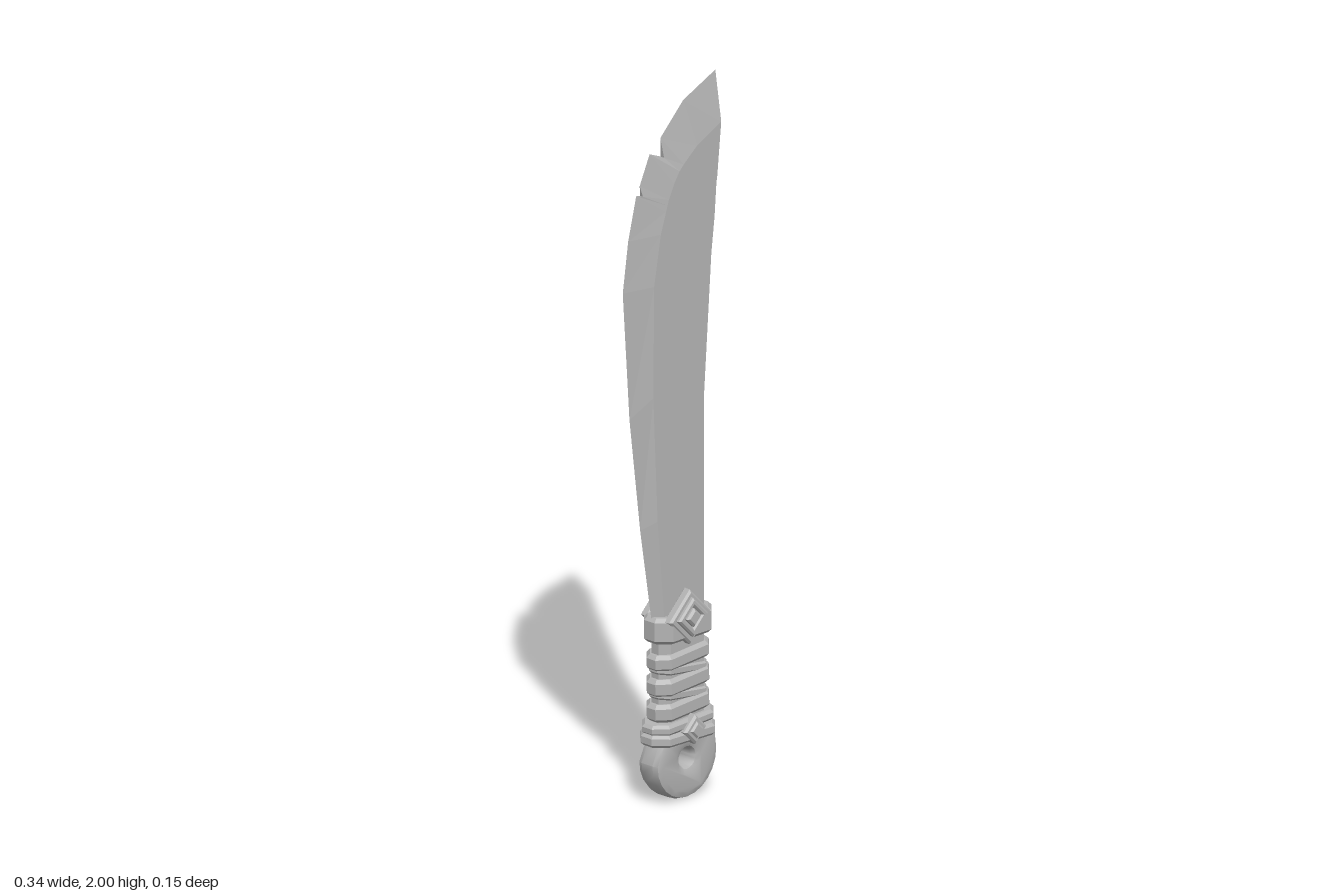
import * as THREE from 'three';
import { toCreasedNormals } from 'three/addons/utils/BufferGeometryUtils.js';

const steel = new THREE.MeshStandardMaterial({ color: 0xb4b4b4 });
steel.name = 'grey steel';
const CX = 0.03; // handle axis

function part(name, geometry, parent) {
  const mesh = new THREE.Mesh(geometry, steel);
  mesh.name = name;
  parent.add(mesh);
  return mesh;
}

const polygon = pts => new THREE.Shape(pts.map(p => new THREE.Vector2(...p)));

// Chamfered slab in the xy plane, z centred, keeping its full outline
function slab(shape, halfDepth, bevel, segments = 1) {
  const depth = 2 * (halfDepth - bevel);
  return new THREE.ExtrudeGeometry(shape, {
    depth, bevelThickness: bevel, bevelSize: bevel, bevelOffset: -bevel,
    bevelSegments: segments, curveSegments: 10,
  }).translate(0, 0, -depth / 2);
}

// Eight-sided band around the handle
function band(name, y, halfHeight, hx, hz, bevel, tilt, parent) {
  const c = Math.min(0.035, hz * 0.65);
  const shape = polygon([
    [hx - c, -hz], [hx, c - hz], [hx, hz - c], [hx - c, hz],
    [c - hx, hz], [-hx, hz - c], [-hx, c - hz], [c - hx, -hz],
  ]);
  const mesh = part(name, slab(shape, halfHeight, bevel).rotateX(-Math.PI / 2), parent);
  mesh.position.set(CX, y, 0);
  mesh.rotation.z = tilt;
  return mesh;
}

const diamond = r => polygon([[r, 0], [0, r], [-r, 0], [0, -r]]);

function diamondFrame(r, hole) {
  const s = diamond(r);
  s.holes.push(diamond(hole));
  return s;
}

// Blade rows: edge x, y, half thickness; bevel x, y; spine x, y
const ROWS = [
  [-0.065, 0.5, 0, -0.04, 0.5, 0.105, 0.5],
  [-0.11, 0.78, 0, -0.067, 0.8, 0.105, 0.8],
  [-0.15, 1.1, 0, -0.083, 1.15, 0.105, 1.1],
  [-0.175, 1.46, 0, -0.08, 1.46, 0.133, 1.5],
  [-0.155, 1.6, 0, -0.055, 1.6, 0.145, 1.6],
  [-0.125, 1.72, 0, -0.035, 1.66, 0.151, 1.68],
  [-0.105, 1.715, 0.005, -0.03, 1.675, 0.153, 1.7],
  [-0.112, 1.745, 0, -0.025, 1.69, 0.155, 1.71],
  [-0.075, 1.825, 0, -0.005, 1.73, 0.158, 1.74],
  [-0.028, 1.805, 0.007, 0.015, 1.76, 0.162, 1.78],
  [-0.035, 1.86, 0, 0.03, 1.775, 0.164, 1.8],
  [0.05, 1.945, 0, 0.08, 1.815, 0.167, 1.83],
  [0.17, 2.0, 0, 0.17, 1.86, 0.17, 1.86],
];

function bladeGeometry() {
  const T = 0.022, pos = [];
  const tri = (a, b, c) => pos.push(...a, ...b, ...c);
  const quad = (a, b, c, d) => { tri(a, b, c); tri(a, c, d); };
  const at = (r, s) => ({
    edge: [r[0], r[1], s * r[2]], bevel: [r[3], r[4], s * T], spine: [r[5], r[6], s * T],
  });
  for (let i = 0; i < ROWS.length - 1; i++) {
    const f0 = at(ROWS[i], 1), f1 = at(ROWS[i + 1], 1);
    const b0 = at(ROWS[i], -1), b1 = at(ROWS[i + 1], -1);
    quad(f0.edge, f0.bevel, f1.bevel, f1.edge);
    quad(f0.bevel, f0.spine, f1.spine, f1.bevel);
    quad(b0.bevel, b0.edge, b1.edge, b1.bevel);
    quad(b0.spine, b0.bevel, b1.bevel, b1.spine);
    quad(f0.spine, b0.spine, b1.spine, f1.spine);
    quad(b0.edge, f0.edge, f1.edge, b1.edge); // notch walls
  }
  const last = ROWS[ROWS.length - 1];
  tri(at(last, 1).spine, at(last, -1).spine, at(last, 1).edge); // tip
  const g = new THREE.BufferGeometry();
  g.setAttribute('position', new THREE.Float32BufferAttribute(pos, 3));
  g.computeVertexNormals();
  return g;
}

// Rounded end with a lanyard hole
function pommelGeometry() {
  const r = 0.115, cy = 0.12;
  const s = new THREE.Shape();
  s.moveTo(r - 0.01, 0.2);
  for (let i = 0; i <= 12; i++) {
    const a = -Math.PI * i / 12;
    s.lineTo(r * Math.cos(a), cy + r * Math.sin(a));
  }
  s.lineTo(-0.09, 0.175);
  s.lineTo(-0.07, 0.2);
  const hole = new THREE.Path();
  hole.absarc(0, cy, 0.026, 0, Math.PI * 2);
  s.holes.push(hole);
  return toCreasedNormals(slab(s, 0.04, 0.02, 2), 0.6).translate(CX, 0, 0);
}

export function createModel() {
  const model = new THREE.Group();
  model.name = 'machete';
  part('blade', bladeGeometry(), model);

  const handle = new THREE.Group();
  handle.name = 'handle';
  model.add(handle);
  part('pommel', pommelGeometry(), handle);
  band('gripCore', 0.33, 0.15, 0.085, 0.036, 0.005, 0, handle);

  // Slanted wrappings
  for (const [y, h] of [[0.405, 0.023], [0.335, 0.025], [0.265, 0.025]]) {
    band('gripWrap', y, h, 0.1, 0.047, 0.01, 0.07, handle);
  }
  band('wrapCrossing', 0.37, 0.012, 0.092, 0.041, 0.005, -0.12, handle);
  band('wrapCrossing', 0.3, 0.012, 0.092, 0.041, 0.005, -0.12, handle);

  // Collar and lower rings
  band('collar', 0.492, 0.036, 0.106, 0.055, 0.01, 0, handle);
  band('lowerRing', 0.22, 0.015, 0.115, 0.052, 0.008, 0.04, handle);
  band('lowerRing', 0.185, 0.017, 0.118, 0.055, 0.008, -0.02, handle);

  // Diamond ornaments on both faces
  for (const side of [1, -1]) {
    const add = (name, shape, half, bevel, x, y, z) =>
      part(name, slab(shape, half, bevel), handle).position.set(x, y, side * z);
    add('collarPeak', diamond(0.077), 0.015, 0.006, 0.022, 0.52, 0.043);
    add('diamondFrame', diamondFrame(0.055, 0.03), 0.012, 0.005, 0.022, 0.522, 0.058);
    add('diamondStud', diamond(0.027), 0.015, 0.006, 0.022, 0.522, 0.059);
    add('lowerDiamond', diamond(0.042), 0.015, 0.006, 0.035, 0.204, 0.05);
    add('lowerStud', diamond(0.024), 0.01, 0.005, 0.035, 0.204, 0.061);
  }
  return model;
}
